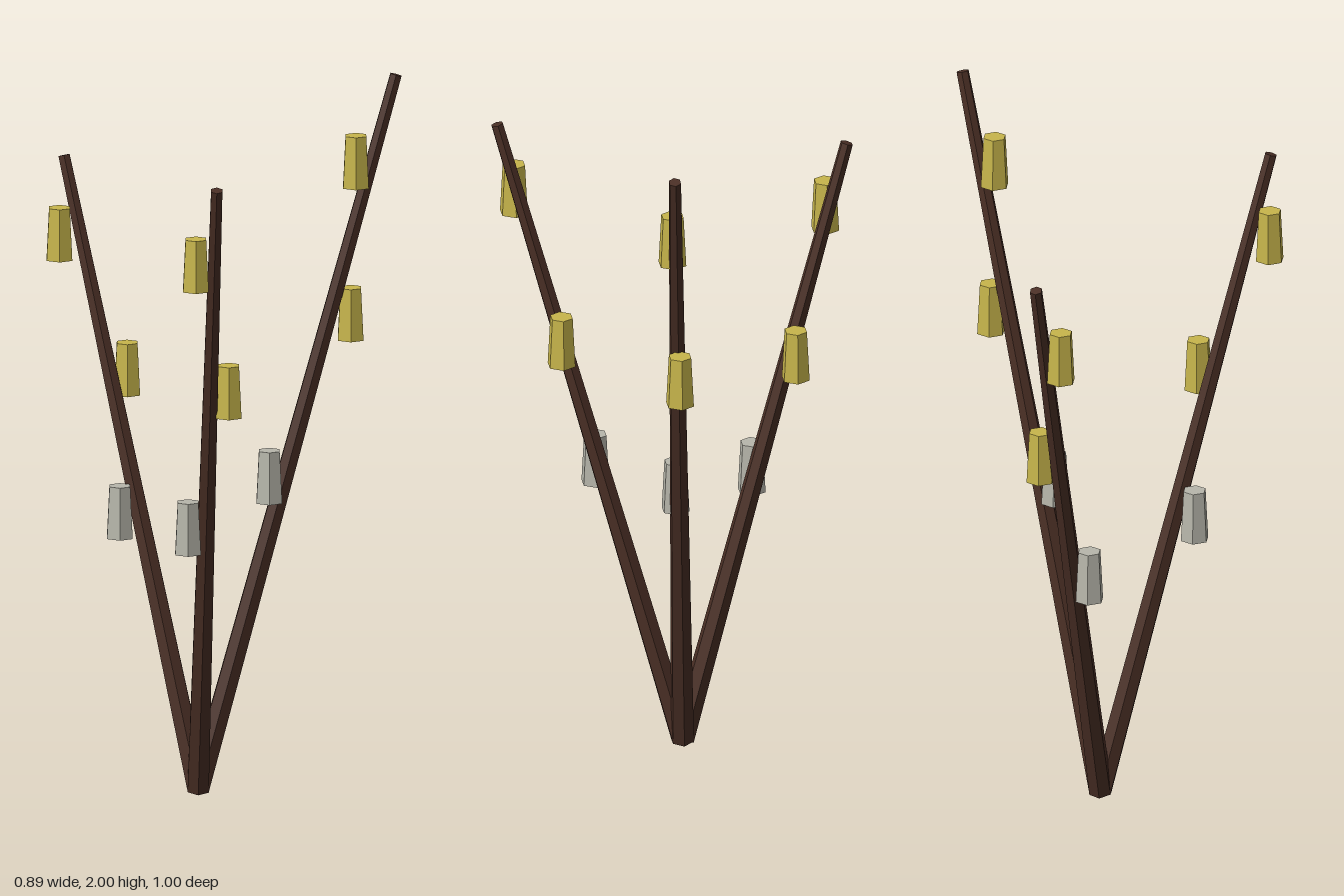
import * as THREE from 'three';

const mat = (name, color) => {
  const m = new THREE.MeshStandardMaterial({ color, flatShading: true });
  m.name = name;
  return m;
};

// Six-sided tapered prism with corners on the x axis
const hexPrism = (top, bottom, height) =>
  new THREE.CylinderGeometry(top, bottom, height, 6).rotateY(Math.PI / 2);

export function createModel() {
  const model = new THREE.Group();
  model.name = 'catkinBranches';
  const bark = mat('barkBrown', 0x4a2f25);
  const yellow = mat('catkinYellow', 0xc8b64c);
  const silver = mat('catkinSilver', 0xb8b7ac);

  const base = new THREE.Vector3(-0.143, 0.009, 0);
  const up = new THREE.Vector3(0, 1, 0);
  const budGeometry = hexPrism(0.033, 0.041, 0.147);

  // Each branch: tip, then one silver bud low down and two yellow ones above
  const branches = [
    { tip: [0.425, 1.995, 0.115], buds: [[0.055, 0.885, 0.052], [0.3, 1.325, 0.08], [0.304, 1.76, 0.102]] },
    { tip: [-0.368, 1.827, 0.483], buds: [[-0.304, 0.812, 0.218], [-0.236, 1.212, 0.324], [-0.404, 1.61, 0.43]] },
    { tip: [-0.288, 1.732, -0.485], buds: [[-0.268, 0.77, -0.215], [-0.18, 1.146, -0.324], [-0.334, 1.525, -0.432]] },
  ];

  branches.forEach(({ tip, buds }, i) => {
    const group = new THREE.Group();
    group.name = `branch${i + 1}`;

    // Tapered stem leaning from the shared base to its tip
    const end = new THREE.Vector3(...tip);
    const axis = end.clone().sub(base);
    const stem = new THREE.Mesh(hexPrism(0.018, 0.034, axis.length()), bark);
    stem.name = 'stem';
    stem.position.copy(base).add(end).multiplyScalar(0.5);
    stem.quaternion.setFromUnitVectors(up, axis.normalize());
    group.add(stem);

    // Upright catkins beside the stem
    buds.forEach((p, j) => {
      const bud = new THREE.Mesh(budGeometry, j === 0 ? silver : yellow);
      bud.name = j === 0 ? 'silverCatkin' : 'yellowCatkin';
      bud.position.set(...p);
      group.add(bud);
    });
    model.add(group);
  });

  return model;
}
